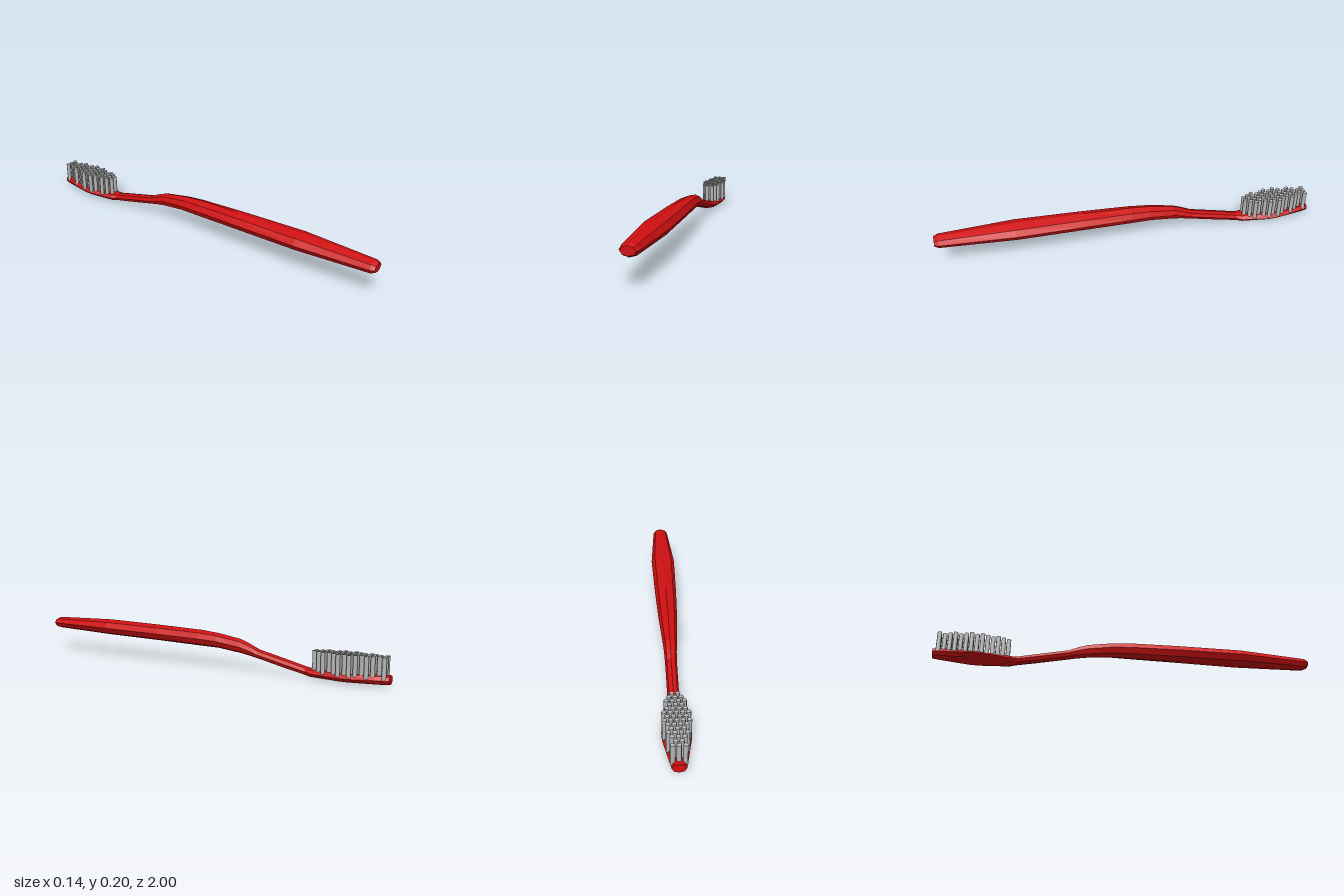
import * as THREE from 'three';

const SIDES = 8;

// Handle and head stations: z, half width, bottom y, top y
const STATIONS = [
  [1.0, 0.034, 0.144, 0.187],
  [0.98, 0.043, 0.134, 0.196],
  [0.6, 0.066, 0.12, 0.206],
  [0.25, 0.058, 0.113, 0.198],
  [0.0, 0.049, 0.106, 0.19],
  [-0.1, 0.043, 0.104, 0.181],
  [-0.23, 0.034, 0.088, 0.16],
  [-0.28, 0.031, 0.079, 0.141],
  [-0.33, 0.029, 0.069, 0.117],
  [-0.48, 0.028, 0.034, 0.082],
  [-0.59, 0.028, 0.011, 0.055],
  [-0.62, 0.041, 0.006, 0.05],
  [-0.77, 0.066, 0.003, 0.052],
  [-0.82, 0.065, 0.003, 0.053],
  [-0.97, 0.038, 0.007, 0.058],
  [-1.0, 0.032, 0.01, 0.056],
];

// The body leans very slightly across x along its length
const centreX = (z) => -0.004 * z;

// Faceted loft through the eight-sided stations, closed at both ends
function loft(stations) {
  const positions = [];
  const index = [];
  for (const [z, w, bottom, top] of stations) {
    const cy = (bottom + top) / 2, h = (top - bottom) / 2;
    for (let i = 0; i < SIDES; i++) {
      const a = (i / SIDES) * Math.PI * 2;
      positions.push(centreX(z) + Math.sin(a) * w, cy + Math.cos(a) * h, z);
    }
  }
  const last = stations.length - 1;
  for (const s of [stations[0], stations[last]]) {
    positions.push(centreX(s[0]), (s[2] + s[3]) / 2, s[0]);
  }
  const startCentre = stations.length * SIDES;
  for (let i = 0; i < SIDES; i++) {
    const n = (i + 1) % SIDES;
    for (let j = 0; j < last; j++) {
      const r = j * SIDES, q = r + SIDES;
      index.push(r + i, r + n, q + n, r + i, q + n, q + i);
    }
    index.push(startCentre, n, i);
    index.push(startCentre + 1, last * SIDES + i, last * SIDES + n);
  }
  const geometry = new THREE.BufferGeometry();
  geometry.setAttribute('position', new THREE.Float32BufferAttribute(positions, 3));
  geometry.setIndex(index);
  const flat = geometry.toNonIndexed();
  flat.computeVertexNormals();
  return flat;
}

// Half width of the body at a given z
function halfWidth(z) {
  for (let i = 1; i < STATIONS.length; i++) {
    const [z0, w0] = STATIONS[i - 1], [z1, w1] = STATIONS[i];
    if (z <= z0 && z >= z1) return THREE.MathUtils.mapLinear(z, z0, z1, w0, w1);
  }
  return 0;
}

export function createModel() {
  const model = new THREE.Group();
  model.name = 'toothbrush';

  const red = new THREE.MeshStandardMaterial({ color: 0xd01012 });
  red.name = 'red plastic';
  const grey = new THREE.MeshStandardMaterial({ color: 0xb8b8b8 });
  grey.name = 'grey bristle';

  const body = new THREE.Mesh(loft(STATIONS), red);
  body.name = 'handleAndHead';
  model.add(body);

  // Staggered rows of bristle tufts filling the head outline
  const bristles = new THREE.Group();
  bristles.name = 'bristles';
  const base = 0.035, tip = 0.14, radius = 0.011, pitch = 0.027, rows = 14;
  const tuft = new THREE.CylinderGeometry(radius, radius, tip - base, 8);
  for (let row = 0; row < rows; row++) {
    const z = THREE.MathUtils.lerp(-0.634, -0.975, row / (rows - 1));
    const limit = halfWidth(z) - 0.009;
    const shift = row % 2 ? 0 : 0.5;
    for (let k = -3; k <= 3; k++) {
      const x = (k + shift) * pitch;
      if (Math.abs(x) > limit) continue;
      const mesh = new THREE.Mesh(tuft, grey);
      mesh.name = 'bristle';
      mesh.position.set(centreX(z) + x, (base + tip) / 2, z);
      bristles.add(mesh);
    }
  }
  model.add(bristles);

  return model;
}
